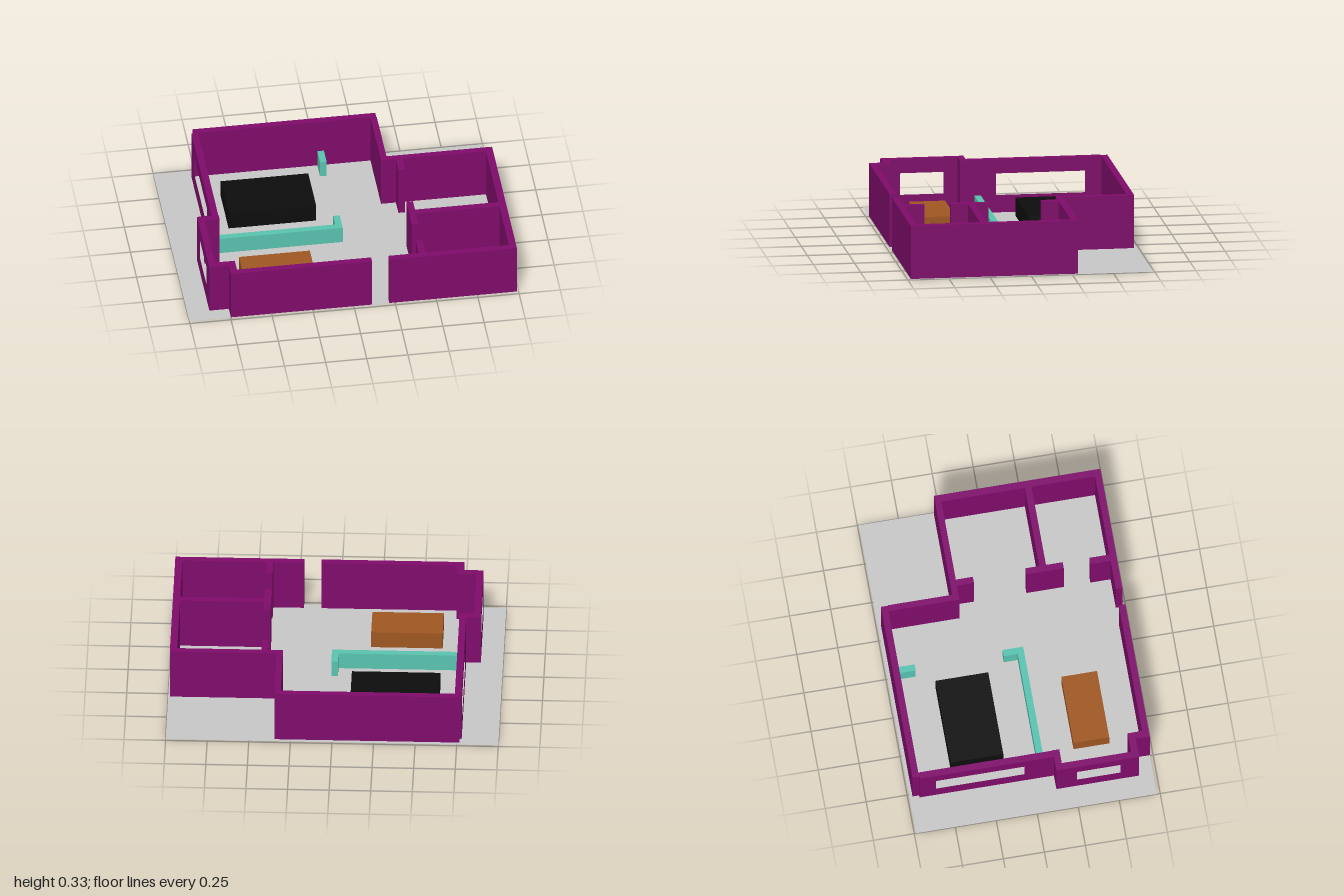
import * as THREE from 'three';

const WALL_TOP = 0.33, LOW_TOP = 0.11;

export function createModel() {
  const model = new THREE.Group();
  model.name = 'floorPlan';
  const mat = (name, color) => {
    const m = new THREE.MeshStandardMaterial({ color });
    m.name = name;
    return m;
  };
  const purple = mat('wallPurple', 0x800c6b);
  const teal = mat('partitionTeal', 0x5ac4b0);
  const black = mat('blockBlack', 0x0d0d0d);
  const brown = mat('tableBrown', 0xa05722);
  const grey = mat('floorGrey', 0xc8c8c8);
  grey.side = THREE.DoubleSide;

  // Box given by its extents on each axis
  const block = (name, material, x0, x1, z0, z1, y0, y1, parent = model) => {
    const mesh = new THREE.Mesh(new THREE.BoxGeometry(x1 - x0, y1 - y0, z1 - z0), material);
    mesh.position.set((x0 + x1) / 2, (y0 + y1) / 2, (z0 + z1) / 2);
    mesh.name = name;
    parent.add(mesh);
  };

  // Floor sheet, just above the undersides of the furniture
  const floor = new THREE.Mesh(new THREE.PlaneGeometry(2, 1.47), grey);
  floor.rotation.x = -Math.PI / 2;
  floor.position.set(0, 0.002, -0.005);
  floor.name = 'floor';
  model.add(floor);

  // Full-height walls: name, x range, z range
  const walls = [
    ['backWall', -0.765, 0.345, -0.72, -0.68],
    ['baySideBack', -0.825, -0.735, 0.14, 0.18],
    ['baySideFront', -0.825, -0.705, 0.602, 0.645],
    ['bayReturn', -0.748, -0.705, 0.645, 0.69],
    ['frontWall', -0.748, 0.11, 0.69, 0.73],
    ['frontWallEast', 0.215, 0.947, 0.69, 0.73],
    ['eastWall', 0.947, 0.99, -0.285, 0.73],
    ['backWallEast', 0.31, 0.947, -0.285, -0.247],
    ['backReturn', 0.31, 0.348, -0.68, -0.285],
    ['innerWallBack', 0.4, 0.44, -0.247, -0.143],
    ['innerWallMiddle', 0.4, 0.44, 0.177, 0.405],
    ['innerWallFront', 0.4, 0.44, 0.567, 0.69],
    ['roomDivider', 0.44, 0.947, 0.262, 0.303],
  ];
  for (const [name, x0, x1, z0, z1] of walls) block(name, purple, x0, x1, z0, z1, 0.003, WALL_TOP);

  // Walls running along z with one window opening, extruded across x
  const windowWall = (name, x0, x1, z0, z1, w0, w1) => {
    const rect = (target, a, b, c, d) =>
      target.moveTo(-a, c).lineTo(-b, c).lineTo(-b, d).lineTo(-a, d).closePath();
    const shape = rect(new THREE.Shape(), z0, z1, 0.003, WALL_TOP);
    shape.holes.push(rect(new THREE.Path(), w0, w1, 0.11, 0.243));
    const geo = new THREE.ExtrudeGeometry(shape, { depth: x1 - x0, bevelEnabled: false });
    geo.rotateY(Math.PI / 2);
    geo.translate(x0, 0, 0);
    const mesh = new THREE.Mesh(geo, purple);
    mesh.name = name;
    model.add(mesh);
  };
  windowWall('westWindowWall', -0.778, -0.737, -0.68, 0.14, -0.58, -0.04);
  windowWall('bayWindowWall', -0.866, -0.825, 0.14, 0.645, 0.265, 0.53);

  // Low teal partitions
  const partition = new THREE.Group();
  partition.name = 'lowPartition';
  model.add(partition);
  block('longPartition', teal, -0.737, -0.013, 0.052, 0.092, 0.003, LOW_TOP, partition);
  block('partitionEnd', teal, -0.013, 0.027, 0.033 - 0.066, 0.092, 0.003, LOW_TOP, partition);
  block('partitionStub', teal, -0.013, 0.027, -0.68, -0.57, 0.003, LOW_TOP, partition);

  // Furniture blocks
  block('blackBlock', black, -0.632, -0.1, -0.465, -0.143, 0, 0.115);
  block('brownTable', brown, -0.632, -0.202, 0.285, 0.503, 0, LOW_TOP);
  return model;
}
